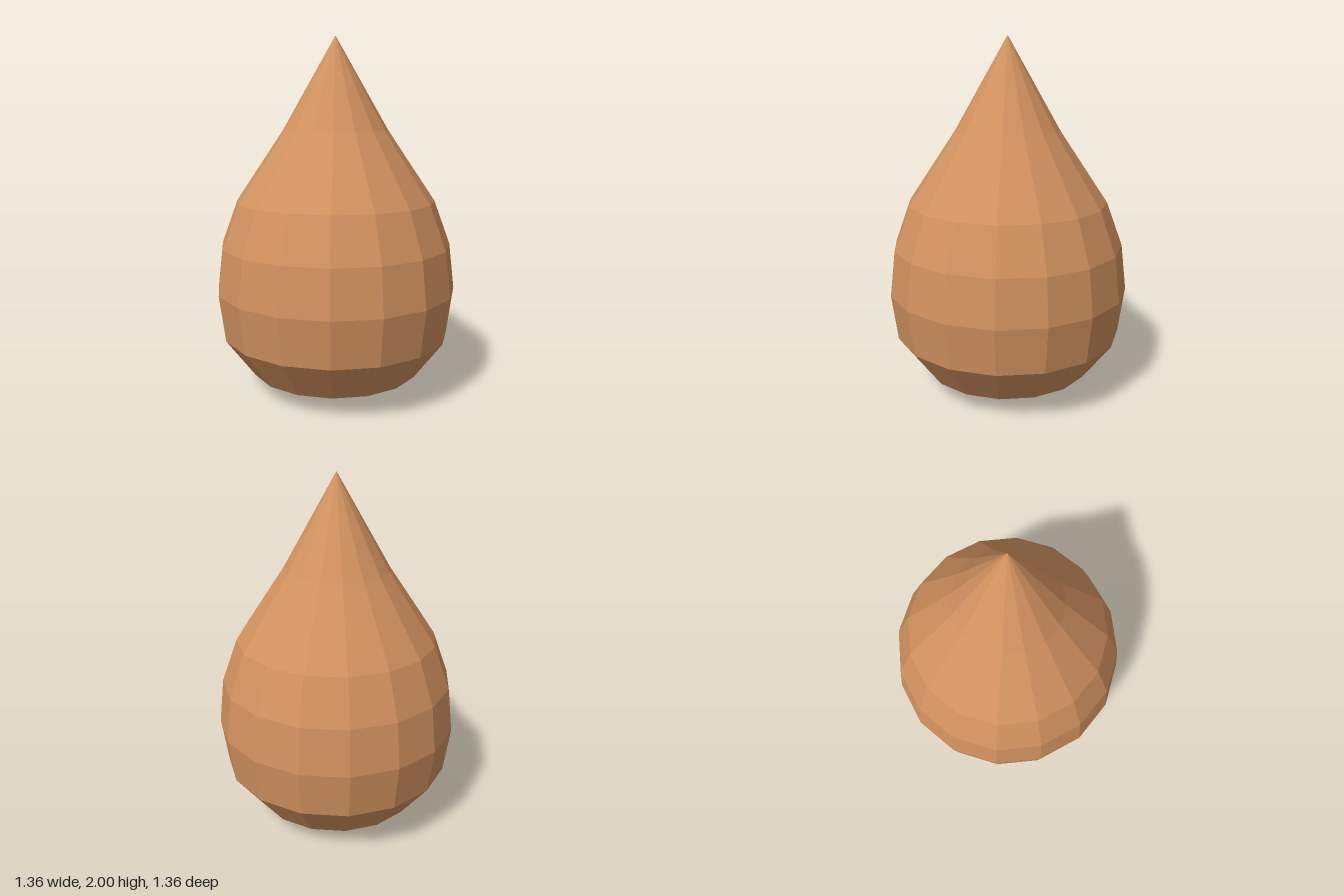
import * as THREE from 'three';

export function createModel() {
  const group = new THREE.Group();
  group.name = 'teardrop';

  // Half profile as [radius, height], from the flat base up to the tip
  const profile = [
    [0, 0], [0.195, 0], [0.48, 0.11], [0.645, 0.33], [0.68, 0.59],
    [0.65, 0.845], [0.56, 1.09], [0.295, 1.485], [0, 2],
  ].map(([r, y]) => new THREE.Vector2(r, y));

  // Sixteen-sided faceted body
  const body = new THREE.Mesh(
    new THREE.LatheGeometry(profile, 16),
    new THREE.MeshStandardMaterial({ color: 0xd2925f, flatShading: true }),
  );
  body.name = 'dropBody';
  group.add(body);

  return group;
}
